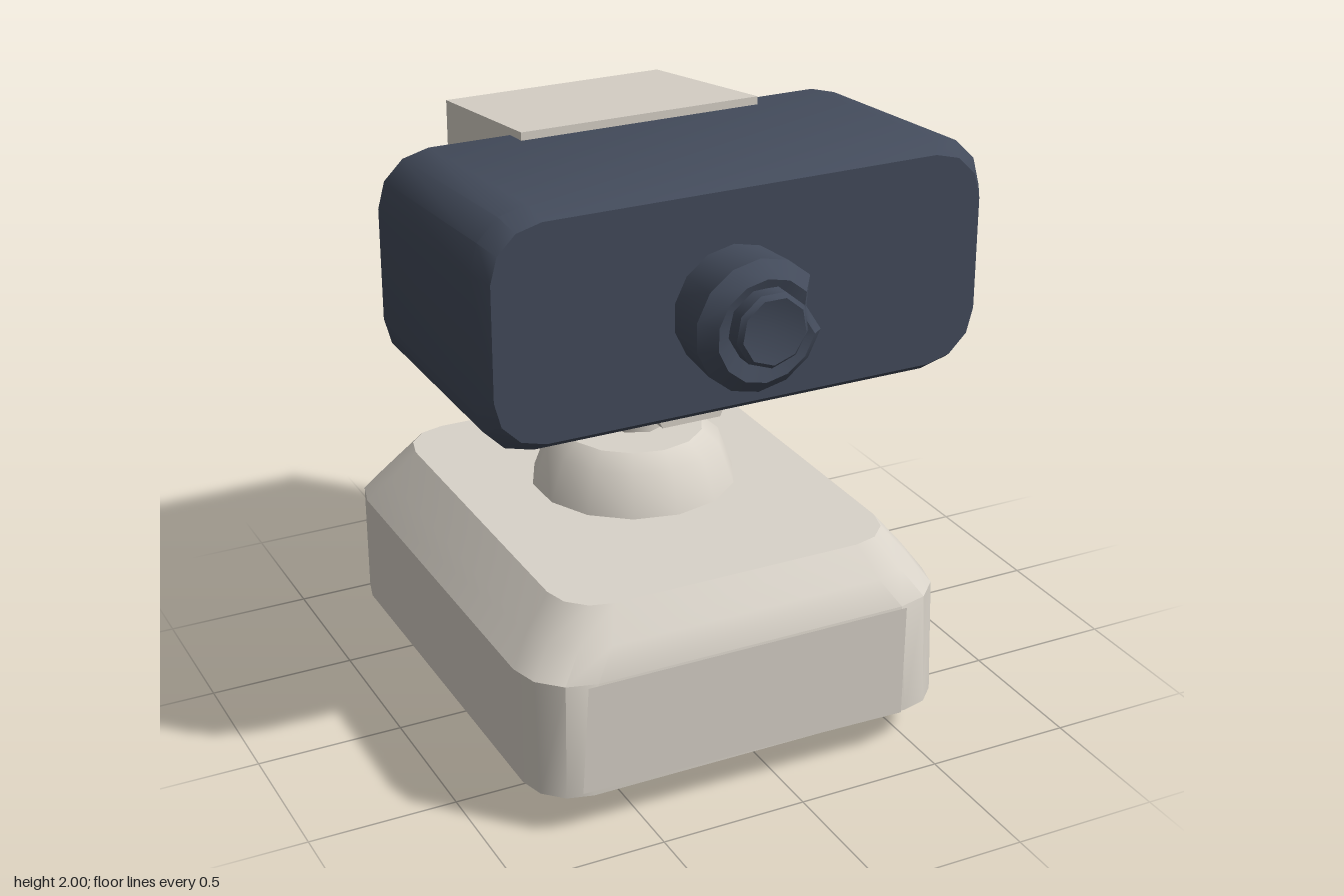
import * as THREE from 'three';
import { toCreasedNormals } from 'three/addons/utils/BufferGeometryUtils.js';

const cream = new THREE.MeshStandardMaterial({ color: 0xd9d3c9, side: THREE.DoubleSide });
const navy = new THREE.MeshStandardMaterial({ color: 0x434b5b, side: THREE.DoubleSide });

// Rounded rectangle, counter-clockwise, four points per corner
function ring({ x: [x0, x1], y: [y0, y1], r, z, tilt = 0 }) {
  const pts = [];
  const corners = [[x1 - r, y1 - r], [x0 + r, y1 - r], [x0 + r, y0 + r], [x1 - r, y0 + r]];
  corners.forEach(([cx, cy], c) => {
    for (let k = 0; k < 4; k++) {
      const a = (c + k / 3) * Math.PI / 2;
      const y = cy + r * Math.sin(a);
      pts.push([cx + r * Math.cos(a), y, z + tilt * (y - (y0 + y1) / 2)]);
    }
  });
  return pts;
}

// Closed body through rounded rectangles listed by rising z
function loft(sections, crease) {
  const rings = sections.map(ring), n = rings[0].length, pos = [];
  const tri = (a, b, c) => pos.push(...a, ...b, ...c);
  for (let s = 0; s < rings.length - 1; s++) {
    for (let i = 0; i < n; i++) {
      const j = (i + 1) % n, a = rings[s], b = rings[s + 1];
      tri(a[i], a[j], b[j]);
      tri(a[i], b[j], b[i]);
    }
  }
  const first = rings[0], last = rings[rings.length - 1];
  for (let i = 1; i < n - 1; i++) {
    tri(first[0], first[i + 1], first[i]);
    tri(last[0], last[i], last[i + 1]);
  }
  const g = new THREE.BufferGeometry();
  g.setAttribute('position', new THREE.Float32BufferAttribute(pos, 3));
  return toCreasedNormals(g, crease);
}

// Turned part from [radius, height] points
function turned(profile, sides, crease = 0.7) {
  const g = new THREE.LatheGeometry(profile.map(([r, y]) => new THREE.Vector2(r, y)), sides);
  return toCreasedNormals(g, crease);
}

// Box spanning two corners, reshaped by a rule on its vertices
function shapedBox([x0, y0, z0], [x1, y1, z1], rule) {
  const g = new THREE.BoxGeometry(x1 - x0, y1 - y0, z1 - z0);
  g.translate((x0 + x1) / 2, (y0 + y1) / 2, (z0 + z1) / 2);
  const p = g.attributes.position, v = new THREE.Vector3();
  for (let i = 0; i < p.count; i++) {
    v.fromBufferAttribute(p, i);
    rule(v);
    p.setXYZ(i, v.x, v.y, v.z);
  }
  g.computeVertexNormals();
  return g;
}

// Flat panel from corner points, drawn as a fan
function panel(points) {
  const pos = [];
  for (let i = 1; i < points.length - 1; i++) pos.push(...points[0], ...points[i], ...points[i + 1]);
  const g = new THREE.BufferGeometry();
  g.setAttribute('position', new THREE.Float32BufferAttribute(pos, 3));
  g.computeVertexNormals();
  return g;
}

export function createModel() {
  const model = new THREE.Group();
  const add = (name, geometry, material, x = 0, y = 0, z = 0) => {
    const mesh = new THREE.Mesh(geometry, material);
    mesh.name = name;
    mesh.position.set(x, y, z);
    model.add(mesh);
    return mesh;
  };

  // Base: rounded block with sloping shoulders
  const base = loft([
    { x: [-0.84, 0.64], y: [-0.85, 0.85], r: 0.17, z: 0.14 },
    { x: [-0.85, 0.64], y: [-0.85, 0.85], r: 0.2, z: 0.54 },
    { x: [-0.78, 0.58], y: [-0.8, 0.8], r: 0.2, z: 0.63 },
    { x: [-0.69, 0.5], y: [-0.72, 0.73], r: 0.16, z: 0.73 },
  ], 0.65).rotateX(-Math.PI / 2);
  add('base', base, cream);

  // Thin panels on the front and back of the base
  add('frontPanel', panel([
    [-0.71, 0.16, 0.855], [0.45, 0.14, 0.858], [0.45, 0.54, 0.865], [-0.69, 0.54, 0.862],
  ]), cream);
  add('backPanel', panel([
    [0.44, 0.16, -0.852], [-0.62, 0.54, -0.856], [0.44, 0.54, -0.864],
  ]), cream);

  // Foot, collar and neck
  add('foot', turned([[0, 0], [0.17, 0.01], [0.185, 0.16]], 10), cream, -0.03, 0.005, -0.03);
  add('collar', turned([[0.355, 0.72], [0.3, 0.87], [0.24, 0.92], [0, 0.92]], 14), cream, -0.08, 0, -0.08);
  add('neck', turned([[0.11, 0.9], [0.11, 1.2]], 8, 0.9), cream, -0.06, 0, -0.1);

  // Wedge-shaped mount under the head, narrower at its lower face
  add('mount', shapedBox([-0.25, 1.13, -0.24], [0.1, 1.25, 0.33], (v) => {
    if (v.y < 1.2 && v.z > 0) { v.y = 1.09; v.x = v.x < -0.1 ? -0.17 : 0.04; }
  }), cream);

  // Head: lofted front to back, with a broad bevel at the rear
  add('head', loft([
    { x: [-0.66, 0.64], y: [1.36, 1.82], r: 0.1, z: -0.37, tilt: -0.06 },
    { x: [-0.885, 0.885], y: [1.2, 1.94], r: 0.18, z: -0.28 },
    { x: [-0.89, 0.885], y: [1.2, 2], r: 0.19, z: 0.5 },
    { x: [-0.85, 0.85], y: [1.24, 1.96], r: 0.17, z: 0.56 },
  ], 0.75), navy);

  // Box behind the head, tapering towards the back
  add('rearBox', shapedBox([-0.42, 1.17, -0.84], [0.445, 1.975, -0.19], (v) => {
    if (v.z < -0.5) {
      if (v.x > 0) v.x = 0.39;
      v.y = v.y > 1.5 ? 1.9 : 1.19;
    }
  }), cream);

  // Lens barrel with a notch in its rim
  const barrel = new THREE.LatheGeometry(
    [[0.205, 0.5], [0.22, 0.73], [0.17, 0.78], [0.1, 0.76]].map(([r, y]) => new THREE.Vector2(r, y)), 14);
  barrel.rotateX(Math.PI / 2);
  const p = barrel.attributes.position;
  for (let i = 0; i < p.count; i++) {
    const angle = Math.atan2(p.getY(i), p.getX(i));
    if (p.getZ(i) > 0.6 && angle > 0.05 && angle < 0.4) {
      p.setXYZ(i, p.getX(i) * 0.75, p.getY(i) * 0.75, p.getZ(i));
    }
  }
  add('lensBarrel', toCreasedNormals(barrel, 0.7), navy, -0.04, 1.575, 0);

  // Eyepiece with a shallow dish
  const eyepiece = turned([[0.125, 0.7], [0.125, 0.82], [0.11, 0.835], [0, 0.81]], 9).rotateX(Math.PI / 2);
  add('eyepiece', eyepiece, navy, -0.045, 1.595, 0);

  return model;
}
